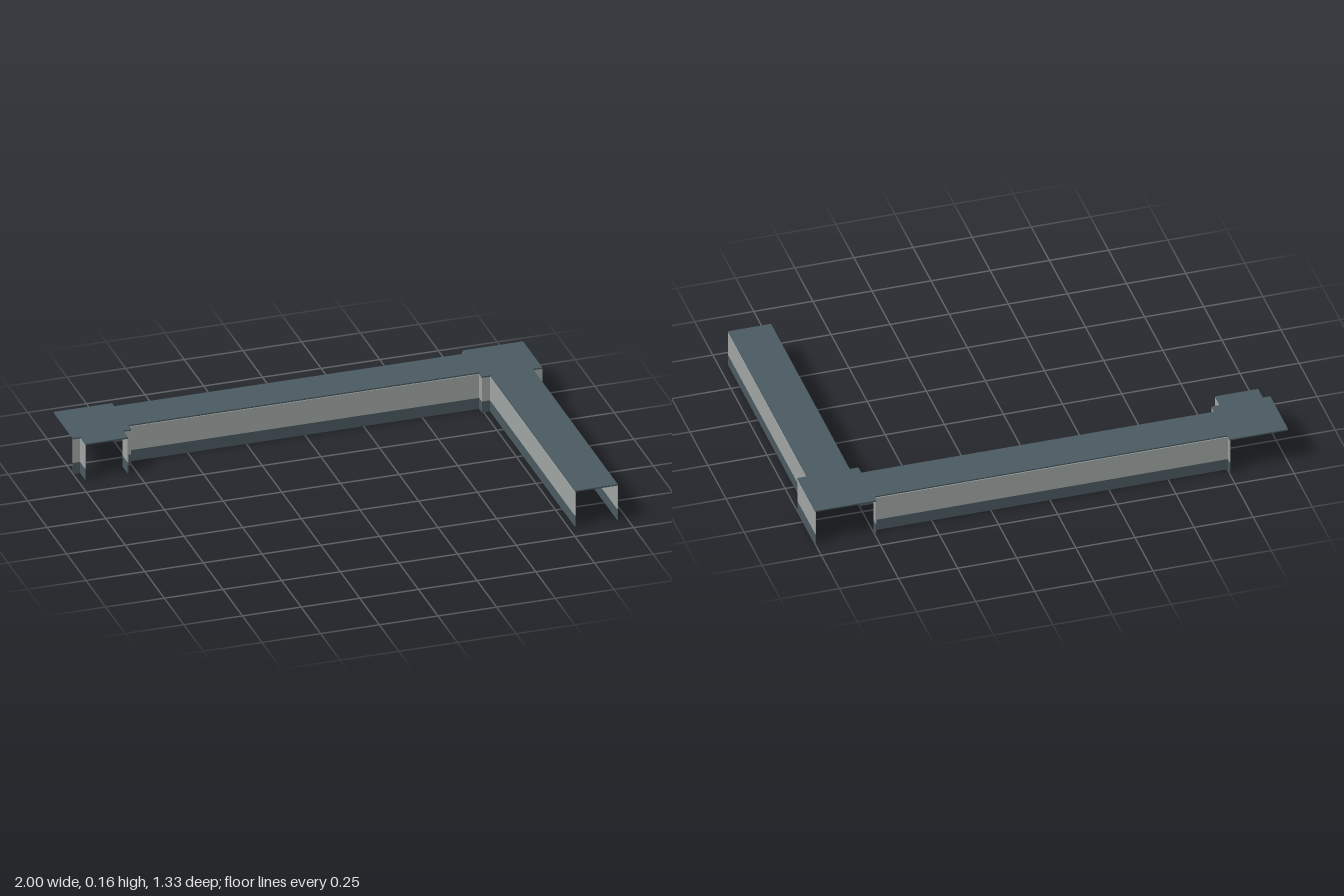
import * as THREE from 'three';

const H = 0.157, TOP = 0.163, BAND = 0.05, T = 0.004;

export function createModel() {
  const model = new THREE.Group();
  model.name = 'corridorSection';
  const darkSlate = new THREE.MeshStandardMaterial({ color: 0x4c5b62 });
  darkSlate.name = 'darkSlate';
  const paleGrey = new THREE.MeshStandardMaterial({ color: 0xa2a8a5 });
  paleGrey.name = 'paleGrey';

  // Box given by its limits on each axis
  const box = (name, mat, x0, x1, y0, y1, z0, z1) => {
    const mesh = new THREE.Mesh(new THREE.BoxGeometry(x1 - x0, y1 - y0, z1 - z0), mat);
    mesh.position.set((x0 + x1) / 2, (y0 + y1) / 2, (z0 + z1) / 2);
    mesh.name = name;
    model.add(mesh);
  };
  // Thin wall: dark skirting band below, pale panel above
  const wall = (name, x0, x1, z0, z1) => {
    box(name + 'Skirting', darkSlate, x0, x1, 0, BAND, z0, z1);
    box(name + 'Panel', paleGrey, x0, x1, BAND, H, z0, z1);
  };
  const roof = (name, x0, x1, z0, z1) => box(name, darkSlate, x0, x1, H, TOP, z0, z1);

  // Corridor running along x, with a wall on each long side
  const corridorX = (name, x0, x1, z0, z1) => {
    roof(name + 'Roof', x0, x1, z0 + T, z1 - T);
    wall(name + 'BackWall', x0, x1, z0, z0 + T);
    wall(name + 'FrontWall', x0, x1, z1 - T, z1);
  };
  // Corridor running along z
  const corridorZ = (name, x0, x1, z0, z1) => {
    roof(name + 'Roof', x0 + T / 2, x1 - T / 2, z0, z1);
    wall(name + 'RightWall', x0, x0 + T, z0, z1);
    wall(name + 'LeftWall', x1 - T, x1, z0, z1);
  };

  // Long back corridor, side arm and short stub
  const zBack = -0.667, zFront = -0.42, zIn0 = -0.642, zIn1 = -0.455;
  corridorX('longCorridor', -0.752, 0.742, zIn0, zIn1);
  corridorZ('sideArm', 0.777, 0.962, zFront, 0.667);
  corridorZ('shortStub', -0.97, -0.785, zFront, -0.355);

  // Corner rooms: roof, returns beside each opening, ceiling lamp
  const corners = [
    { name: 'rightCorner', x0: -1, x1: -0.752, open0: -0.968, open1: -0.787, side: -0.752 },
    { name: 'leftCorner', x0: 0.742, x1: 1, open0: 0.777, open1: 0.962, side: 0.742 + T },
  ];
  for (const c of corners) {
    roof(c.name + 'Roof', c.x0, c.x1, zBack, zFront);
    wall(c.name + 'FrontReturnA', c.x0, c.open0, zFront - T, zFront);
    wall(c.name + 'FrontReturnB', c.open1, c.x1, zFront - T, zFront);
    wall(c.name + 'SideReturnBack', c.side - T, c.side, zBack, zIn0);
    wall(c.name + 'SideReturnFront', c.side - T, c.side, zIn1, zFront - T);
    const m = (c.open0 + c.open1) / 2, zm = (zBack + zFront) / 2;
    box(c.name + 'Lamp', paleGrey, m - 0.035, m + 0.035, 0.148, H, zm - 0.035, zm + 0.035);
  }
  // Closed outer side of the left corner
  wall('leftCornerOuterWall', 1 - T, 1, zBack, zFront - T);

  return model;
}
